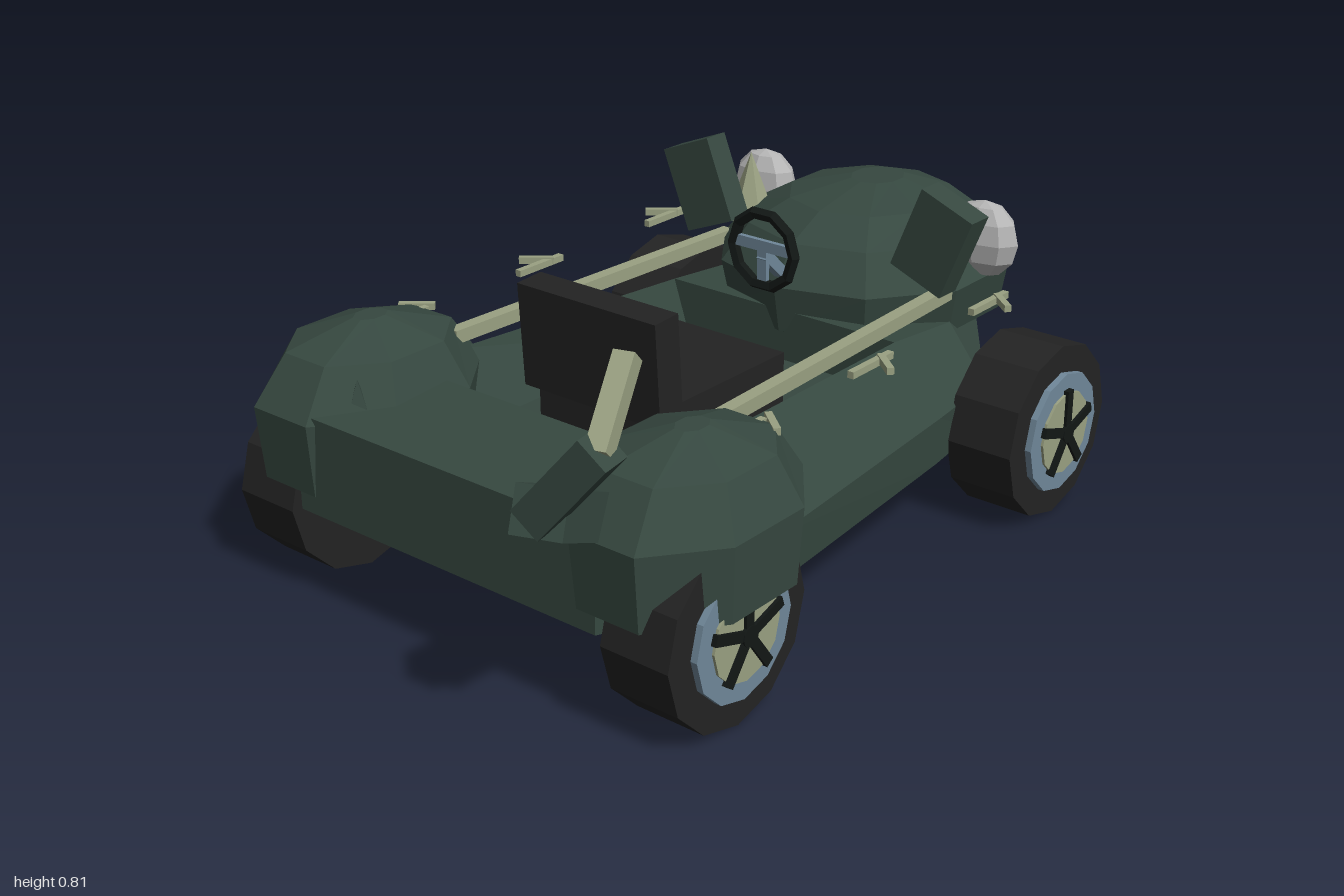
import * as THREE from 'three';

const paint = (name, color, extra = {}) => {
  const m = new THREE.MeshStandardMaterial({ color, ...extra });
  m.name = name;
  return m;
};

// Faceted skin over a list of equal-length rings, capped at both ends
function loft(rings) {
  const pos = [];
  const tri = (a, b, c) => pos.push(...a, ...b, ...c);
  const n = rings[0].length;
  for (let i = 0; i < rings.length - 1; i++) {
    for (let j = 0; j < n; j++) {
      const k = (j + 1) % n, p = rings[i], q = rings[i + 1];
      tri(p[j], p[k], q[k]);
      tri(p[j], q[k], q[j]);
    }
  }
  const cap = (r, flip) => {
    const c = [0, 1, 2].map(a => r.reduce((s, p) => s + p[a], 0) / n);
    for (let j = 0; j < n; j++) {
      const k = (j + 1) % n;
      if (flip) tri(c, r[k], r[j]); else tri(c, r[j], r[k]);
    }
  };
  cap(rings[0], true);
  cap(rings[rings.length - 1], false);
  const g = new THREE.BufferGeometry();
  g.setAttribute('position', new THREE.Float32BufferAttribute(pos, 3));
  g.computeVertexNormals();
  return g;
}

// Horizontal elliptical ring
function ring(y, cx, cz, rx, rz, n) {
  return Array.from({ length: n }, (_, i) => {
    const a = ((i + 0.5) / n) * Math.PI * 2;
    return [cx + rx * Math.cos(a), y, cz - rz * Math.sin(a)];
  });
}

const faceted = g => {
  const f = g.index ? g.toNonIndexed() : g;
  f.computeVertexNormals();
  return f;
};

export function createModel() {
  const model = new THREE.Group();
  model.name = 'kart';
  const green = paint('dark green', 0x364840, { side: THREE.DoubleSide });
  const black = paint('rubber black', 0x232323);
  const dark = paint('spoke black', 0x121715);
  const olive = paint('pale olive', 0x9aa182);
  const blue = paint('steel blue', 0x70889a);
  const grey = paint('light grey', 0xb6b6b6);

  const add = (name, geo, mat, x = 0, y = 0, z = 0, parent = model) => {
    const m = new THREE.Mesh(geo, mat);
    m.name = name;
    m.position.set(x, y, z);
    parent.add(m);
    return m;
  };
  const box = (w, h, d) => new THREE.BoxGeometry(w, h, d);

  // Bar running between two points
  const bar = (name, a, b, w, h, mat) => {
    const A = new THREE.Vector3(...a), B = new THREE.Vector3(...b);
    const m = add(name, box(w, h, A.distanceTo(B)), mat);
    m.position.copy(A).add(B).multiplyScalar(0.5);
    m.lookAt(B);
    return m;
  };

  // Tapered tub with sunken cockpit: z, floor, flank, shoulder, cockpit (half width, height)
  const sections = [
    [-0.90, 0.12, 0.165, 0.13, 0.27, 0.11, 0.30, 0.08, 0.30],
    [-0.50, 0.40, 0.165, 0.41, 0.275, 0.31, 0.40, 0.25, 0.40],
    [-0.28, 0.43, 0.165, 0.435, 0.275, 0.31, 0.42, 0.27, 0.42],
    [-0.28, 0.43, 0.165, 0.435, 0.275, 0.31, 0.42, 0.27, 0.30],
    [0.38, 0.49, 0.165, 0.50, 0.28, 0.35, 0.445, 0.27, 0.30],
    [0.51, 0.46, 0.175, 0.46, 0.28, 0.36, 0.44, 0.26, 0.30],
    [0.51, 0.46, 0.175, 0.46, 0.28, 0.36, 0.44, 0.26, 0.44],
    [0.79, 0.40, 0.21, 0.40, 0.28, 0.38, 0.425, 0.25, 0.425],
  ];
  add('body', loft(sections.map(([z, ...s]) => {
    const half = [0, 2, 4, 6].map(i => [s[i], s[i + 1], z]);
    return [...half, ...half.map(([x, y]) => [-x, y, z]).reverse()];
  })), green);

  // Domed bonnet: y, centre z, half width, half length
  add('bonnet', loft([
    [0.33, -0.62, 0.24, 0.25], [0.37, -0.61, 0.32, 0.335], [0.48, -0.60, 0.345, 0.345],
    [0.565, -0.60, 0.28, 0.28], [0.615, -0.62, 0.19, 0.20], [0.645, -0.65, 0.06, 0.07],
  ].map(([y, cz, rx, rz]) => ring(y, 0, cz, rx, rz, 10))), green);

  // Flared nose lip
  const lip = (z, x, y0, y1) => [[x, y0, z], [x, y1, z - 0], [-x, y1, z], [-x, y0, z]];
  add('noseLip', loft([
    [[0.125, 0.27, -1], [0.125, 0.375, -0.98], [-0.125, 0.375, -0.98], [-0.125, 0.27, -1]],
    lip(-0.84, 0.145, 0.27, 0.39),
  ]), green);

  // Seat
  add('seatCushion', box(0.37, 0.13, 0.36), black, 0, 0.373, 0.13);
  add('seatBack', box(0.37, 0.23, 0.07), black, 0, 0.515, 0.325).rotation.x = 0.06;
  add('seatPad', box(0.30, 0.14, 0.02), black, 0, 0.52, 0.285);

  // Steering wheel with column and spokes
  add('steeringWheel', faceted(new THREE.TorusGeometry(0.085, 0.014, 5, 10)), dark, 0, 0.58, -0.215);
  add('steeringBar', box(0.15, 0.025, 0.012), blue, 0, 0.59, -0.215);
  add('steeringStem', box(0.025, 0.08, 0.012), blue, 0, 0.545, -0.215);
  bar('steeringColumn', [0, 0.57, -0.215], [0, 0.49, -0.30], 0.025, 0.025, blue);

  // Wheel: tyre, rim, disc and five spokes, outer face towards +x
  const wheel = (name, s, z) => {
    const w = new THREE.Group();
    w.name = name;
    w.position.set(s * 0.5, 0.2, z);
    w.rotation.y = s > 0 ? 0 : Math.PI;
    model.add(w);
    const disc = (part, r, depth, mat, x) => {
      const g = new THREE.CylinderGeometry(r, r, depth, 12).toNonIndexed();
      g.computeVertexNormals();
      add(part, g, mat, x, 0, 0, w).rotation.z = -Math.PI / 2;
    };
    disc('tyre', 0.2, 0.16, black, 0);
    disc('rim', 0.138, 0.02, blue, 0.085);
    disc('hubDisc', 0.096, 0.012, olive, 0.095);
    disc('hubCap', 0.022, 0.02, dark, 0.1);
    for (let i = 0; i < 5; i++) {
      const a = (i / 5) * Math.PI * 2;
      add('spoke', box(0.012, 0.1, 0.022), dark, 0.102,
        Math.cos(a) * 0.052, Math.sin(a) * 0.052, w).rotation.x = a;
    }
  };

  for (const s of [1, -1]) {
    wheel('frontWheel', s, 0.6);
    wheel('backWheel', s, -0.535);

    // Bulbous front fender: y, x, z, half width, half length
    add('fender', loft([
      [0.12, 0.375, 0.45, 0.02, 0.04], [0.25, 0.43, 0.56, 0.195, 0.25], [0.41, 0.43, 0.56, 0.205, 0.265],
      [0.51, 0.43, 0.555, 0.155, 0.19], [0.555, 0.43, 0.55, 0.03, 0.04],
    ].map(([y, x, z, rx, rz]) => ring(y, s * x, z, rx, rz, 8))), green);
    add('fenderSpike', faceted(new THREE.ConeGeometry(0.025, 0.06, 4)), green, s * 0.31, 0.46, 0.7);

    // Side rail
    bar('sideRail', [s * 0.31, 0.478, -0.48], [s * 0.35, 0.478, 0.40], 0.03, 0.03, olive);

    // Leaning slab and horn on the bonnet
    add('slab', box(0.14, 0.2, 0.065), green, s * 0.325, 0.62, -0.415).rotation.z = -s * 0.38;
    add('horn', faceted(new THREE.ConeGeometry(0.06, 0.16, 6)), olive, s * 0.25, 0.61, -0.49);

    // Headlamp eye with dark pupil
    const eye = faceted(new THREE.SphereGeometry(0.09, 8, 6));
    add('eye', eye, grey, s * 0.31, 0.565, -0.625).scale.set(1, 1, 0.6);
    const pupil = add('pupil', faceted(new THREE.SphereGeometry(0.032, 6, 4)), dark, s * 0.31, 0.565, -0.675);
    pupil.scale.z = 0.65;

    // Forked pegs along the flank
    for (const z of [-0.42, 0.02, 0.39]) {
      const short = z > 0.3 ? 0.02 : 0.07;
      add('peg', box(0.015, 0.015, short * 2), olive, s * 0.455, 0.505, z);
      bar('pegBranch', [s * 0.45, 0.508, z - 0.04], [s * 0.51, 0.508, z + 0.01], 0.015, 0.015, olive);
    }
  }

  // Kinked tail with pale tip
  bar('tailBase', [0.34, 0.41, 0.72], [0.425, 0.53, 0.95], 0.10, 0.09, green);
  bar('tailMiddle', [0.42, 0.52, 0.955], [0.555, 0.68, 0.93], 0.07, 0.07, green);
  bar('tailTip', [0.55, 0.67, 0.935], [0.515, 0.80, 0.82], 0.04, 0.04, olive);

  return model;
}
